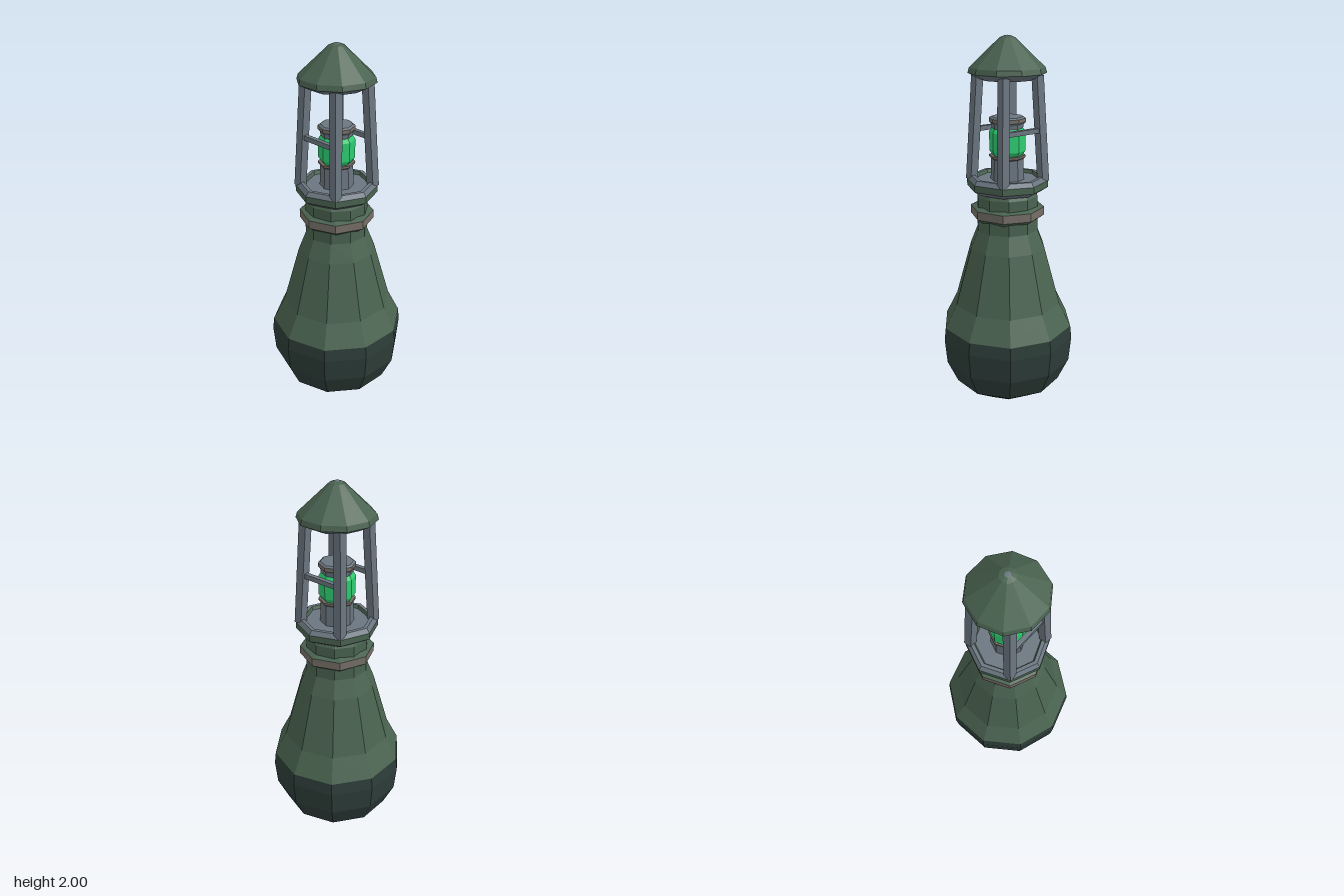
import * as THREE from 'three';

const flat = (name, color) => {
  const m = new THREE.MeshStandardMaterial({ color, flatShading: true });
  m.name = name;
  return m;
};

export function createModel() {
  const green = flat('hull green', 0x4a6350);
  const dark = flat('dark lower hull', 0x2d3d39);
  const keel = flat('keel grey', 0x474c57);
  const steel = flat('steel', 0x6b7680);
  const brown = flat('worn brown', 0x756e66);
  const glow = flat('lamp green', 0x2ecc71);

  const model = new THREE.Group();
  model.name = 'buoy';

  const add = (name, geometry, material) => {
    const mesh = new THREE.Mesh(geometry, material);
    mesh.name = name;
    model.add(mesh);
    return mesh;
  };
  // Faceted turned part: [radius, height] pairs from bottom to top
  const turned = (name, sides, material, profile, start = 0) =>
    add(name, new THREE.LatheGeometry(profile.map(([r, y]) => new THREE.Vector2(r, y)), sides, start), material);
  // Square bar between two points
  const bar = (name, a, b, size) => {
    const dir = b.clone().sub(a);
    const mesh = add(name, new THREE.BoxGeometry(size, dir.length(), size), steel);
    mesh.position.copy(a).add(b).multiplyScalar(0.5);
    mesh.quaternion.setFromUnitVectors(new THREE.Vector3(0, 1, 0), dir.normalize());
  };

  // Ten-sided float
  turned('keelPlate', 10, keel, [[0, 0], [0.163, 0]]);
  turned('lowerHull', 10, dark, [[0.163, 0], [0.3, 0.09], [0.36, 0.22], [0.373, 0.36], [0.365, 0.43]]);
  turned('upperHull', 10, green, [[0.365, 0.43], [0.3, 0.56], [0.21, 0.88], [0.17, 0.98], [0.168, 1.17], [0.152, 1.2]]);

  // Neck collar with a worn band
  turned('collarBottom', 8, green, [[0.16, 1.032], [0.2, 1.06]]);
  turned('collarBand', 8, brown, [[0.2, 1.06], [0.2, 1.105]]);
  turned('collarTop', 8, green, [[0.2, 1.105], [0.155, 1.12]]);

  // Octagonal deck with a raised lip
  turned('deckUnderside', 8, steel, [[0.13, 1.19], [0.18, 1.19], [0.218, 1.215]]);
  turned('deckRim', 8, green, [[0.218, 1.215], [0.218, 1.25]]);
  turned('deckLip', 8, steel, [[0.218, 1.25], [0.2, 1.273], [0.18, 1.273]]);
  turned('deckInnerWall', 8, green, [[0.18, 1.273], [0.172, 1.255]]);
  turned('deckFloor', 8, steel, [[0.172, 1.255], [0, 1.255]]);

  // Lamp
  turned('lampPedestal', 8, steel, [[0.09, 1.255], [0.086, 1.37]]);
  turned('lampLowerRing', 8, brown, [[0.084, 1.365], [0.097, 1.375], [0.097, 1.387], [0, 1.387]]);
  turned('lampGlass', 8, glow, [[0.08, 1.385], [0.096, 1.41], [0.096, 1.51], [0.08, 1.535]]);
  turned('lampCapBase', 8, steel, [[0, 1.53], [0.083, 1.53], [0.086, 1.55], [0.097, 1.562]]);
  turned('lampCapBand', 8, brown, [[0.097, 1.562], [0.097, 1.582]]);
  turned('lampCapTop', 8, steel, [[0.097, 1.582], [0.085, 1.59], [0, 1.592]]);

  // Four leaning legs, with a crossbar at front and back
  for (const sz of [1, -1]) {
    for (const sx of [1, -1]) {
      bar('leg', new THREE.Vector3(sx * 0.136, 1.25, sz * 0.136), new THREE.Vector3(sx * 0.11, 1.8, sz * 0.11), 0.045);
    }
    bar('crossbar', new THREE.Vector3(-0.122, 1.52, sz * 0.123), new THREE.Vector3(0.122, 1.52, sz * 0.123), 0.025);
  }

  // Ten-sided roof, turned half a facet
  const turn = Math.PI / 10;
  turned('roofUnderside', 10, steel, [[0, 1.78], [0.14, 1.78], [0.204, 1.813]], turn);
  turned('roof', 10, green, [[0.204, 1.813], [0.196, 1.84], [0.04, 1.988], [0.015, 1.998]], turn);
  turned('roofTip', 10, steel, [[0.015, 1.998], [0, 2]], turn);

  return model;
}
